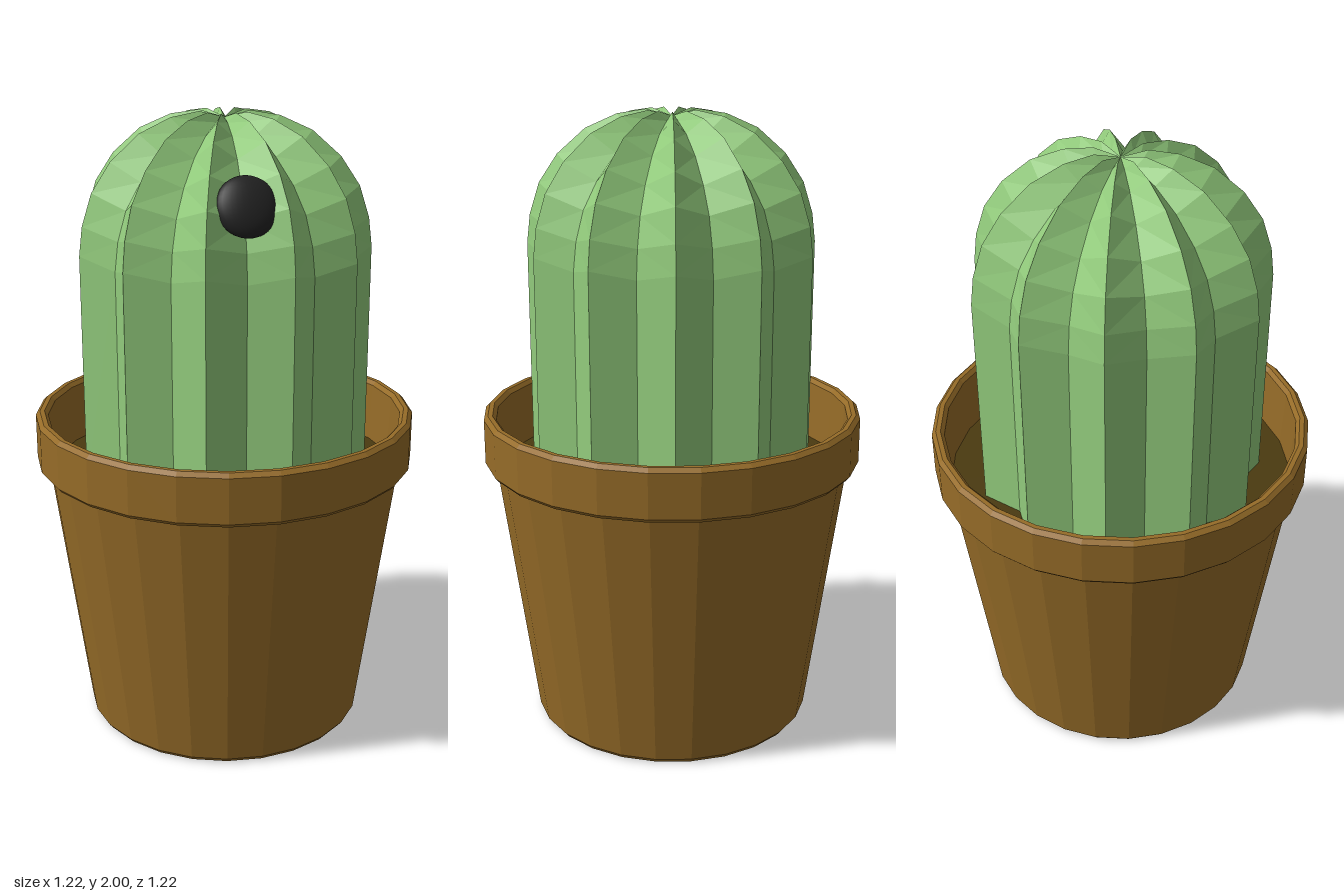
import * as THREE from 'three';

const POT_SIDES = 25;
const RIBS = 11;

function material(color, flatShading = true) {
  return new THREE.MeshStandardMaterial({ color, flatShading });
}

function addMesh(group, name, geometry, mat) {
  const mesh = new THREE.Mesh(geometry, mat);
  mesh.name = name;
  group.add(mesh);
  return mesh;
}

// Faceted solid of revolution whose first corner lies on +x
function lathe(profile) {
  const points = profile.map(([r, y]) => new THREE.Vector2(r, y));
  return new THREE.LatheGeometry(points, POT_SIDES).rotateY(Math.PI / 2);
}

// Star-shaped rings: even columns follow the ridge, odd columns the groove
function ribbedBody(ridge, groove) {
  const columns = RIBS * 2;
  const positions = [];
  const indices = [];
  ridge.forEach((_, row) => {
    for (let i = 0; i < columns; i++) {
      const [r, y] = (i % 2 ? groove : ridge)[row];
      const a = (i / columns) * Math.PI * 2;
      positions.push(r * Math.cos(a), y, r * Math.sin(a));
    }
  });
  for (let row = 0; row < ridge.length - 1; row++) {
    for (let i = 0; i < columns; i++) {
      const a = row * columns + i;
      const b = row * columns + ((i + 1) % columns);
      const c = a + columns;
      const d = b + columns;
      // Keep the diagonals mirrored about each ridge
      if (i % 2) indices.push(a, c, b, b, c, d);
      else indices.push(a, d, b, a, c, d);
    }
  }
  const geometry = new THREE.BufferGeometry();
  geometry.setAttribute('position', new THREE.Float32BufferAttribute(positions, 3));
  geometry.setIndex(indices);
  geometry.computeVertexNormals();
  return geometry;
}

export function createModel() {
  const model = new THREE.Group();
  model.name = 'pottedCactus';
  const clay = material(0x966c28);

  // Pot: tapered wall, overhanging rim and inner wall
  addMesh(model, 'pot', lathe([
    [0, 0], [0.445, 0], [0.457, 0.015], [0.575, 0.885],
    [0.6, 0.885], [0.61, 0.897], [0.61, 1.04], [0.597, 1.053],
    [0.582, 1.053], [0.57, 1.04], [0.56, 0.84],
  ]), clay);

  // Soil disc
  addMesh(model, 'soil', lathe([[0.562, 0.85], [0, 0.85]]), material(0x4a3a10));

  // Ribbed cactus with a slight dimple at the crown
  const ridge = [
    [0.463, 0.84], [0.463, 1.58], [0.452, 1.67], [0.42, 1.77], [0.36, 1.86],
    [0.27, 1.94], [0.17, 1.985], [0.08, 2], [0, 1.98],
  ];
  const groove = [
    [0.395, 0.84], [0.395, 1.55], [0.383, 1.64], [0.353, 1.73], [0.3, 1.81],
    [0.225, 1.885], [0.14, 1.94], [0.06, 1.97], [0, 1.98],
  ];
  addMesh(model, 'cactus', ribbedBody(ridge, groove), material(0x92cb7c));

  // Flattened dark button, facing outward and slightly up
  const button = addMesh(model, 'button', new THREE.SphereGeometry(0.092, 32, 20), material(0x222222, false));
  button.scale.z = 0.4;
  button.position.set(0.24, 1.772, 0.272);
  button.rotation.set(-0.44, Math.PI / 4, 0, 'YXZ');

  return model;
}
